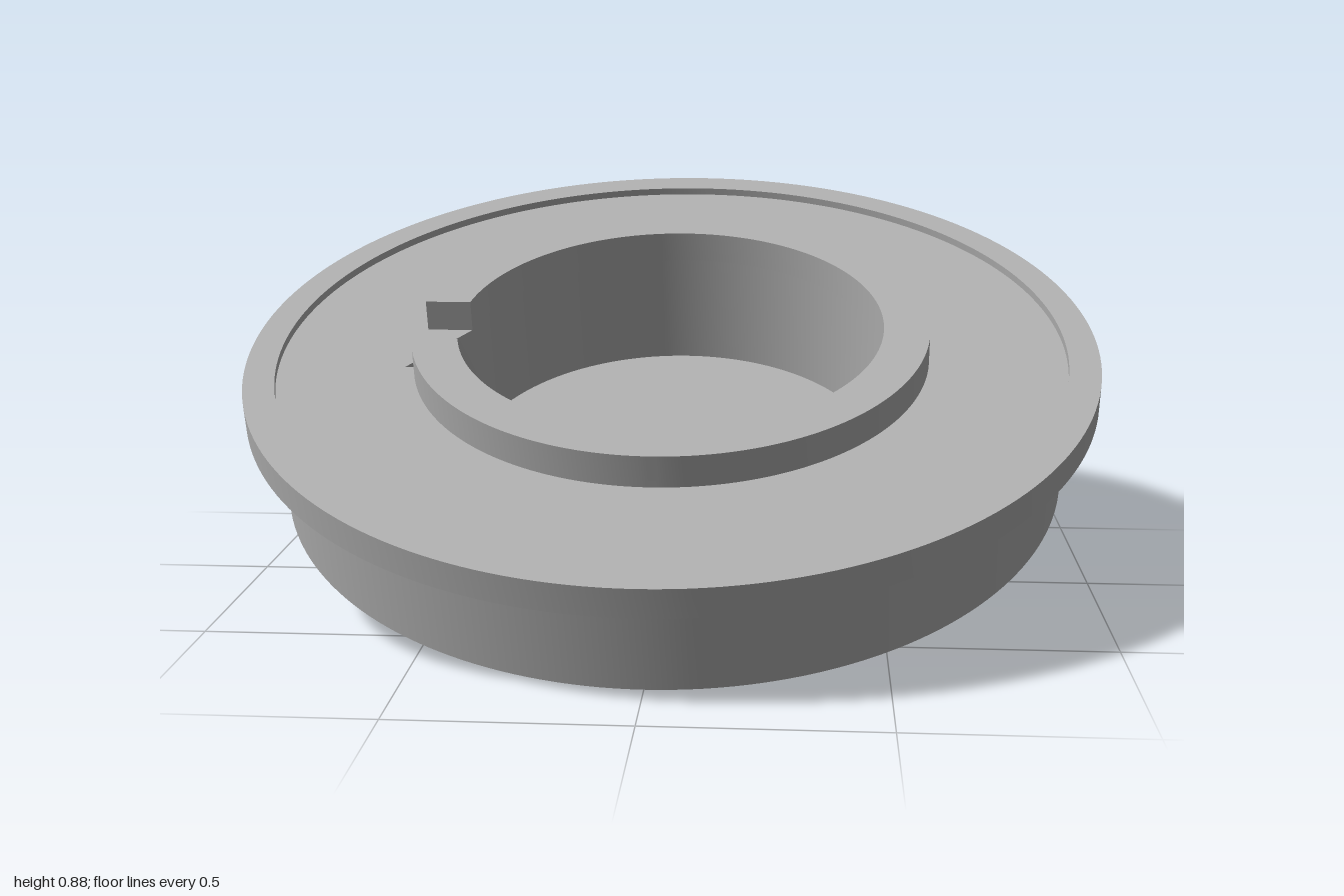
import * as THREE from 'three';
import { toCreasedNormals } from 'three/addons/utils/BufferGeometryUtils.js';

const TILT = THREE.MathUtils.degToRad(18);
const BORE = 0.5, HUB = 0.607, BODY = 0.927, RIM = 1;
const SLOT_HALF = 0.095, SLOT_END = 0.62;

export function createModel() {
  const grey = new THREE.MeshStandardMaterial({ color: 0xb0b0b0 });
  grey.name = 'grey metal';

  const model = new THREE.Group();
  model.name = 'flangedCap';
  const tilted = new THREE.Group();
  tilted.name = 'tiltedAssembly';
  tilted.position.set(0, 0.572, 0.011);
  tilted.rotation.x = TILT;
  model.add(tilted);

  // Extrude a plan outline between two heights along the axis
  function layer(name, shape, bottom, top) {
    const raw = new THREE.ExtrudeGeometry(shape, {
      depth: top - bottom, bevelEnabled: false, curveSegments: 96,
    });
    raw.rotateX(-Math.PI / 2);
    raw.translate(0, bottom, 0);
    const mesh = new THREE.Mesh(toCreasedNormals(raw, 0.5), grey);
    mesh.name = name;
    tilted.add(mesh);
  }
  const disc = (r) => new THREE.Shape().absarc(0, 0, r, 0, Math.PI * 2, false);

  // Angles where the key slot meets the bore and the hub's outer wall
  const inner = Math.PI - Math.asin(SLOT_HALF / BORE);
  const outer = Math.PI - Math.asin(SLOT_HALF / HUB);

  // Body with a round bore and a key slot on its right side
  const body = disc(BODY);
  const keyhole = new THREE.Path();
  keyhole.moveTo(-SLOT_END, SLOT_HALF);
  keyhole.absarc(0, 0, BORE, inner, -inner, true);
  keyhole.lineTo(-SLOT_END, -SLOT_HALF);
  keyhole.closePath();
  body.holes.push(keyhole);
  layer('body', body, -0.3, -0.018);

  // Raised outer rim
  const rim = disc(RIM);
  rim.holes.push(new THREE.Path().absarc(0, 0, BODY, 0, Math.PI * 2, true));
  layer('rim', rim, -0.07, 0);

  // Raised hub collar, open at the key slot
  const hub = new THREE.Shape();
  hub.absarc(0, 0, HUB, -outer, outer, false);
  hub.absarc(0, 0, BORE, inner, -inner, true);
  hub.closePath();
  layer('hubCollar', hub, -0.018, 0.058);

  // Thin plate closing the bottom of the bore
  layer('bottomPlate', disc(HUB), -0.318, -0.3);

  return model;
}
